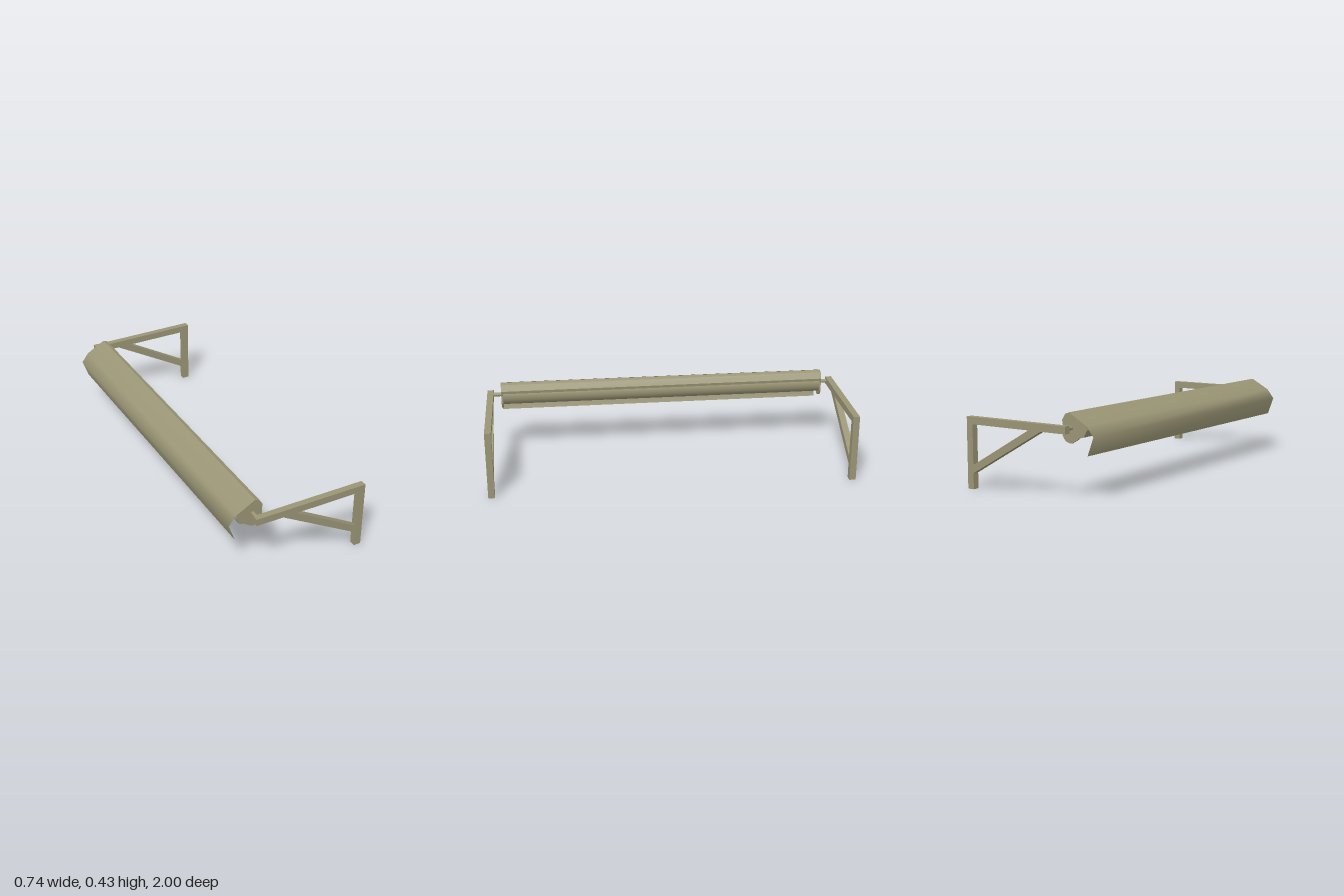
import * as THREE from 'three';

const COLOR = 0x9a9575;
const solid = new THREE.MeshStandardMaterial({ color: COLOR, flatShading: true });
const smooth = new THREE.MeshStandardMaterial({ color: COLOR });
const sheet = new THREE.MeshStandardMaterial({ color: COLOR, side: THREE.DoubleSide });
const sheetFlat = new THREE.MeshStandardMaterial({ color: COLOR, side: THREE.DoubleSide, flatShading: true });

const points = (list) => list.map(([x, y]) => new THREE.Vector2(x, y));

function addMesh(group, name, geometry, material) {
  const mesh = new THREE.Mesh(geometry, material);
  mesh.name = name;
  group.add(mesh);
  return mesh;
}

// Solid with an x-y outline, running from z0 to z1
function prism(outline, z0, z1, hole) {
  const shape = new THREE.Shape(points(outline));
  if (hole) shape.holes.push(new THREE.Path(points(hole)));
  return new THREE.ExtrudeGeometry(shape, { depth: z1 - z0, bevelEnabled: false }).translate(0, 0, z0);
}

// Open thin surface swept along z from an x-y profile
function strip(profile, halfLength) {
  const geometry = new THREE.PlaneGeometry(1, 1, profile.length - 1, 1);
  const pos = geometry.attributes.position;
  for (let i = 0; i < pos.count; i++) {
    const [x, y] = profile[i % profile.length];
    pos.setXYZ(i, x, y, i < profile.length ? -halfLength : halfLength);
  }
  geometry.computeVertexNormals();
  return geometry;
}

function rod(radius, length, x, y, z, sides) {
  return new THREE.CylinderGeometry(radius, radius, length, sides).rotateX(Math.PI / 2).translate(x, y, z);
}

export function createModel() {
  const model = new THREE.Group();
  const half = 0.922;
  const axis = [-0.237, 0.355];

  // Wall bracket: arm, post and diagonal brace in one outline
  const bracket = [
    [-0.26, 0.373], [-0.26, 0.335], [-0.11, 0.335], [0.332, 0.083],
    [0.332, 0], [0.37, 0], [0.37, 0.373],
  ];
  const opening = [[-0.032, 0.335], [0.332, 0.335], [0.332, 0.126]];

  // End cap of the cassette
  const cap = [
    [-0.332, 0.35], [-0.312, 0.314], [-0.288, 0.308], [-0.256, 0.287], [-0.241, 0.279],
    [-0.225, 0.279], [-0.207, 0.285], [-0.193, 0.298], [-0.185, 0.315], [-0.184, 0.335],
    [-0.187, 0.372], [-0.182, 0.39], [-0.202, 0.422], [-0.225, 0.43], [-0.325, 0.373],
  ];

  for (const [side, word] of [[1, 'front'], [-1, 'back']]) {
    const span = (a, b) => (side > 0 ? [a, b] : [-b, -a]);
    addMesh(model, word + 'Bracket', prism(bracket, ...span(0.965, 1), opening), solid);
    addMesh(model, word + 'EndCap', prism(cap, ...span(half - 0.01, half)), solid);
    addMesh(model, word + 'Axle', rod(0.011, 0.07, ...axis, side * 0.945, 12), smooth);
  }

  // Fabric roll inside the cassette
  addMesh(model, 'roller', rod(0.056, 2 * half - 0.02, ...axis, 0, 32), smooth);

  // Hood over the roll
  addMesh(model, 'hood', strip([
    [-0.187, 0.362], [-0.182, 0.39], [-0.202, 0.422], [-0.225, 0.43], [-0.325, 0.373],
  ], half), sheetFlat);

  // Rail along the outer edge
  addMesh(model, 'frontRail', prism([
    [-0.325, 0.372], [-0.332, 0.35], [-0.312, 0.314], [-0.298, 0.311], [-0.298, 0.386],
  ], -half, half), solid);

  // Fabric canopy with its hanging valance
  addMesh(model, 'canopy', strip([
    [-0.225, 0.431], [-0.33, 0.372], [-0.37, 0.32], [-0.335, 0.225],
  ], half), sheet);

  return model;
}
